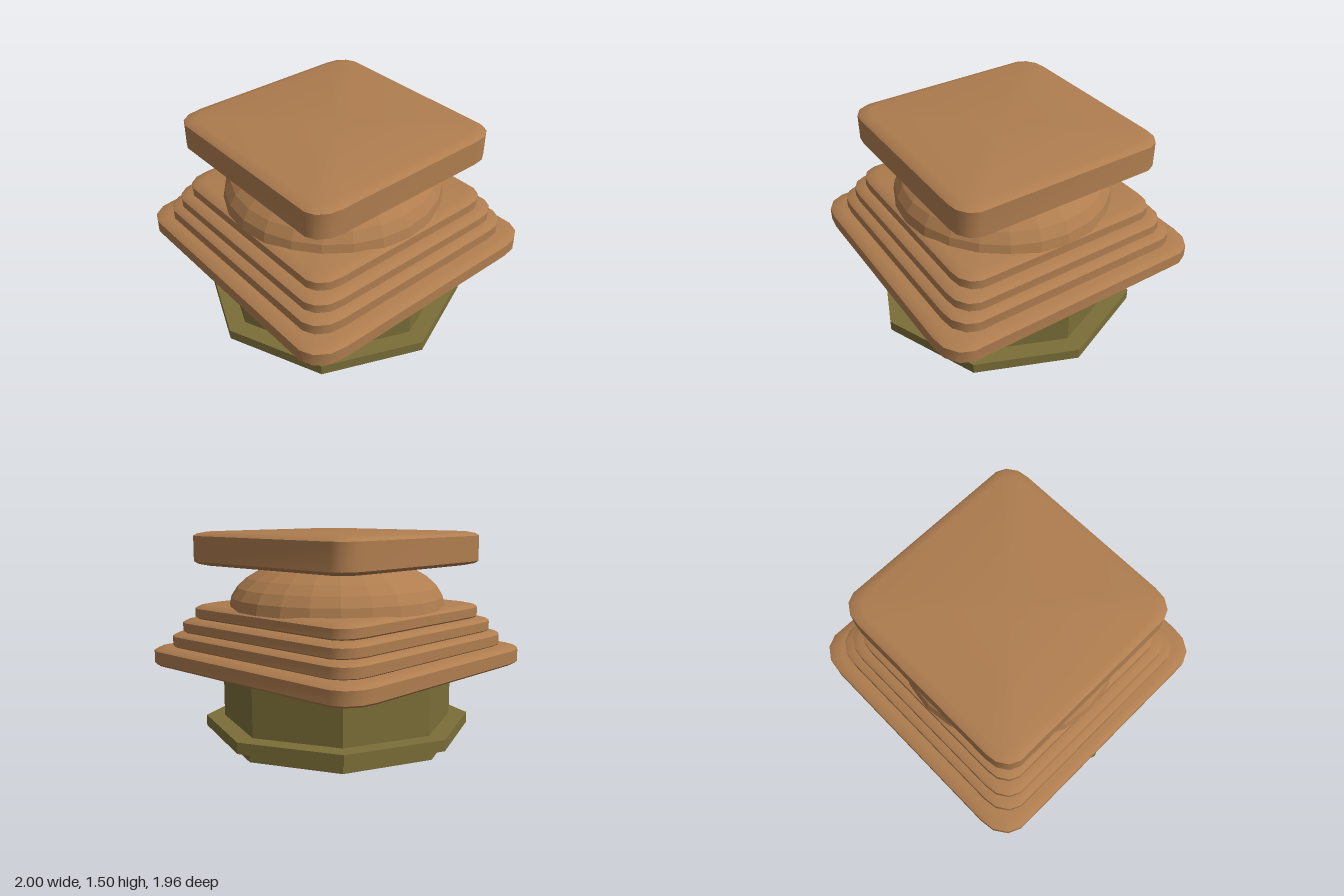
import * as THREE from 'three';
import { toCreasedNormals } from 'three/addons/utils/BufferGeometryUtils.js';

const bronze = new THREE.MeshStandardMaterial({ color: 0xaf7d4f });
bronze.name = 'warm brown';
const olive = new THREE.MeshStandardMaterial({ color: 0x7b6e38 });
olive.name = 'olive';

// One soft corner of a slab, as fractions of its half width and half depth
const corner = [[1, 0.76], [0.985, 0.87], [0.925, 0.96], [0.84, 1]];

// Rounded-square outline, running from +x towards +z
function outline() {
  const flipped = [...corner].reverse();
  return [
    ...corner,
    ...flipped.map(([x, z]) => [-x, z]),
    ...corner.map(([x, z]) => [-x, -z]),
    ...flipped.map(([x, z]) => [x, -z]),
  ];
}

// Slab with a soft shallow rim, lofted through stacked outlines
function slab(halfX, halfZ, y0, y1) {
  const ring = outline();
  const n = ring.length;
  const rim = [[0.07, 0], [0.02, 0.012], [0, 0.028]];
  const levels = [
    ...rim.map(([inset, dy]) => [inset, y0 + dy]),
    ...[...rim].reverse().map(([inset, dy]) => [inset, y1 - dy]),
  ];
  const pos = [];
  const index = [];
  for (const [inset, y] of levels) {
    for (const [x, z] of ring) pos.push(x * (halfX - inset), y, z * (halfZ - inset));
  }
  const bottom = levels.length * n;
  const top = bottom + 1;
  pos.push(0, y0, 0, 0, y1, 0);
  const last = (levels.length - 1) * n;
  for (let j = 0; j < n; j++) {
    const k = (j + 1) % n;
    for (let i = 0; i < levels.length - 1; i++) {
      const a = i * n + j, b = i * n + k;
      index.push(a, a + n, b, b, a + n, b + n);
    }
    index.push(bottom, j, k, top, last + k, last + j);
  }
  const geo = new THREE.BufferGeometry();
  geo.setAttribute('position', new THREE.Float32BufferAttribute(pos, 3));
  geo.setIndex(index);
  return toCreasedNormals(geo, 0.6);
}

// Eight-sided prism with one corner facing the front
function octagon(radius, y0, y1) {
  const geo = new THREE.CylinderGeometry(radius, radius, y1 - y0, 8);
  geo.translate(0, (y0 + y1) / 2, 0);
  return toCreasedNormals(geo, 0.3);
}

// Closed faceted half dome
function dome(radius, height, y0) {
  const profile = [new THREE.Vector2(0, y0)];
  const steps = 8;
  for (let i = 0; i <= steps; i++) {
    const t = (i / steps) * Math.PI / 2;
    profile.push(new THREE.Vector2(i === steps ? 0 : radius * Math.cos(t), y0 + height * Math.sin(t)));
  }
  const geo = new THREE.LatheGeometry(profile, 24).toNonIndexed();
  geo.scale(0.98, 1, 1);
  geo.computeVertexNormals();
  return geo;
}

export function createModel() {
  const group = new THREE.Group();
  const add = (name, geometry, material) => {
    const mesh = new THREE.Mesh(geometry, material);
    mesh.name = name;
    group.add(mesh);
  };

  // Octagonal foot: loose base plate, flange and column
  add('basePlate', octagon(0.855, 0, 0.07), olive);
  add('flange', octagon(0.96, 0.083, 0.16), olive);
  add('column', octagon(0.828, 0.15, 0.56), olive);

  // Stepped slabs, widest at the bottom
  const steps = [
    [1.0, 0.98, 0.535, 0.68],
    [0.89, 0.885, 0.66, 0.785],
    [0.832, 0.83, 0.765, 0.882],
    [0.765, 0.762, 0.865, 0.983],
  ];
  steps.forEach((s, i) => add('step' + (i + 1), slab(...s), bronze));

  // Dome carrying the cap
  add('dome', dome(0.782, 0.37, 0.97), bronze);
  add('cap', slab(0.765, 0.762, 1.26, 1.495), bronze);

  return group;
}
